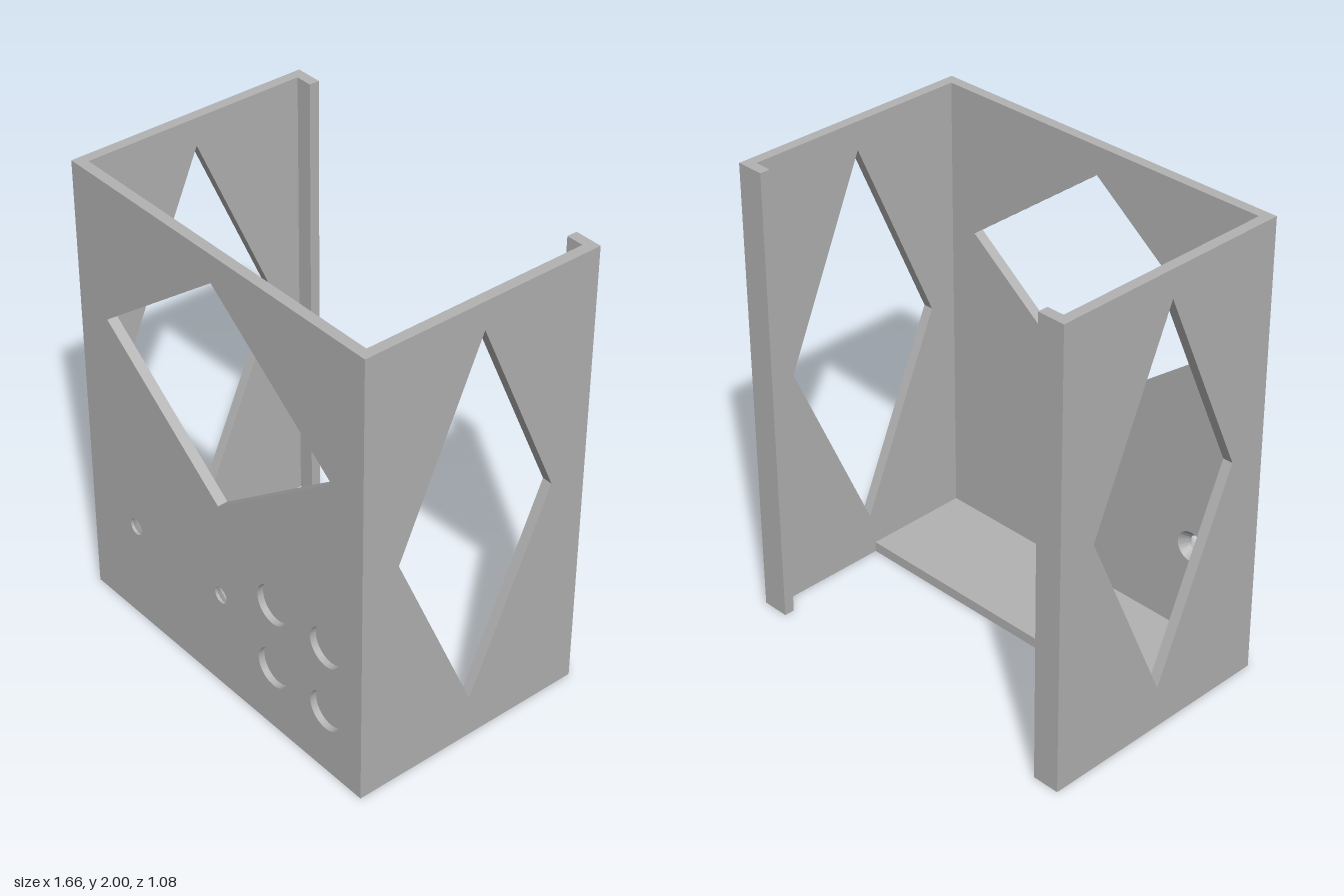
import * as THREE from 'three';
import { toCreasedNormals } from 'three/addons/utils/BufferGeometryUtils.js';

const W = 0.83, D = 0.54, H = 2, T = 0.045;   // half width, half depth, height, wall thickness
const POCKET = 0.028, HOLE_R = 0.036, SINK_R = 0.068;

const grey = new THREE.MeshStandardMaterial({ color: 0xb2b2b2 });
grey.name = 'grey';
const greyTwoSided = grey;

function rect(x0, x1, y0, y1) {
  return new THREE.Shape([[x0, y0], [x1, y0], [x1, y1], [x0, y1]].map(p => new THREE.Vector2(...p)));
}

function diamond(cx, cy, rx, ry) {
  return new THREE.Path([[cx - rx, cy], [cx, cy + ry], [cx + rx, cy], [cx, cy - ry]].map(p => new THREE.Vector2(...p)));
}

function circle(cx, cy, r) {
  return new THREE.Path().absarc(cx, cy, r, 0, Math.PI * 2, true);
}

function extrude(shape, depth) {
  const g = new THREE.ExtrudeGeometry(shape, { depth, bevelEnabled: false, curveSegments: 40 });
  return toCreasedNormals(g, 0.5);
}

export function createModel() {
  const model = new THREE.Group();
  const add = (name, geometry, x = 0, y = 0, z = 0) => {
    const mesh = new THREE.Mesh(geometry, grey);
    mesh.name = name;
    mesh.position.set(x, y, z);
    model.add(mesh);
    return mesh;
  };
  const box = (name, x0, x1, y0, y1, z0, z1) =>
    add(name, new THREE.BoxGeometry(x1 - x0, y1 - y0, z1 - z0), (x0 + x1) / 2, (y0 + y1) / 2, (z0 + z1) / 2);

  // Front panel in two layers: only the outer one is cut by the round pockets
  const screwHoles = [[-0.545, 0.452], [0, 0.452]];
  const panel = pockets => {
    const s = rect(-W, W, 0, H);
    s.holes.push(diamond(0, 1.383, 0.66, 0.497));
    for (const [x, y] of screwHoles) s.holes.push(circle(x, y, SINK_R));
    if (pockets) {
      for (const x of [0.315, 0.625]) for (const y of [0.297, 0.608]) s.holes.push(circle(x, y, 0.087));
    }
    return s;
  };
  add('frontPanelOuter', extrude(panel(true), POCKET), 0, 0, D - POCKET);
  add('frontPanelInner', extrude(panel(false), T - POCKET), 0, 0, D - T);

  // Countersunk screw holes: narrow at the front, flaring towards the inside
  const profile = [[SINK_R, 0], [HOLE_R, 0], [HOLE_R, -0.012], [SINK_R, -T]].map(p => new THREE.Vector2(...p));
  const sink = toCreasedNormals(new THREE.LatheGeometry(profile, 40).rotateX(Math.PI / 2), 0.5);
  const sinkMaterial = grey.clone();
  sinkMaterial.name = 'grey two sided';
  sinkMaterial.side = THREE.DoubleSide;
  for (const [x, y] of screwHoles) add('screwHole', sink, x, y, D).material = sinkMaterial;

  // Side walls with tall diamond windows, and inward lips at the back
  const side = rect(-D, D - T, 0, H);
  side.holes.push(diamond(0, 1.035, 0.372, 0.845));
  const sideGeometry = extrude(side, T).rotateY(-Math.PI / 2);
  add('leftWall', sideGeometry, W);
  add('rightWall', sideGeometry, -W + T);
  box('leftLip', 0.71, W - T, 0, H, -D, -D + T);
  box('rightLip', -W + T, -0.71, 0, H, -D, -D + T);

  // Half-depth floor
  box('floor', -W + T, W - T, 0, T, 0.025, D - T);

  return model;
}
